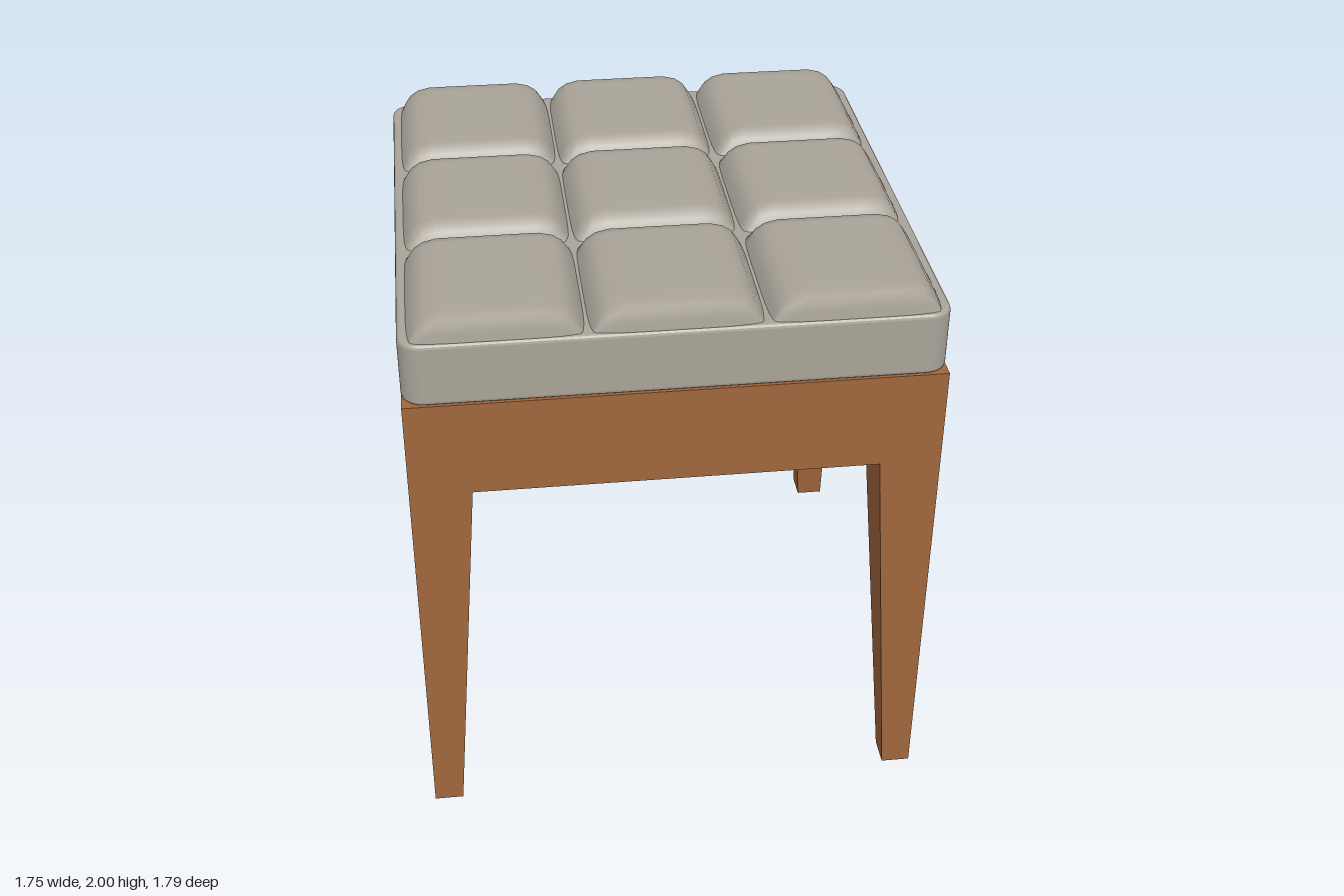
import * as THREE from 'three';

const HX = 0.875, HZ = 0.895;
const APRON_Y = 1.36, SEAT_Y = 1.7, PAD_Y = 1.915;

const wood = new THREE.MeshStandardMaterial({ color: 0xa0663c });
wood.name = 'wood';
const fabric = new THREE.MeshStandardMaterial({ color: 0xaaa499 });
fabric.name = 'greyFabric';

function add(group, name, geometry, material) {
  const mesh = new THREE.Mesh(geometry, material);
  mesh.name = name;
  group.add(mesh);
  return mesh;
}

// Leg with vertical outer faces; the two inner faces taper towards the foot
function legGeometry(sx, sz) {
  const topX = 0.205, topZ = 0.23, foot = 0.1;
  const g = new THREE.BoxGeometry(1, APRON_Y, 1);
  const p = g.attributes.position;
  for (let i = 0; i < p.count; i++) {
    const top = p.getY(i) > 0;
    const inX = p.getX(i) * sx < 0 ? (top ? topX : foot) : 0;
    const inZ = p.getZ(i) * sz < 0 ? (top ? topZ : foot) : 0;
    p.setXYZ(i, sx * (HX - inX), top ? APRON_Y : 0, sz * (HZ - inZ));
  }
  g.computeVertexNormals();
  return g;
}

// Cushion slab with rounded upright corners and a slim rounded rim
function slabGeometry() {
  const b = 0.014, x = HX - b, z = HZ - 0.003 - b, r = 0.06;
  const s = new THREE.Shape();
  s.moveTo(-x + r, -z);
  s.lineTo(x - r, -z);
  s.absarc(x - r, -z + r, r, -Math.PI / 2, 0);
  s.lineTo(x, z - r);
  s.absarc(x - r, z - r, r, 0, Math.PI / 2);
  s.lineTo(-x + r, z);
  s.absarc(-x + r, z - r, r, Math.PI / 2, Math.PI);
  s.lineTo(-x, -z + r);
  s.absarc(-x + r, -z + r, r, Math.PI, Math.PI * 1.5);
  const g = new THREE.ExtrudeGeometry(s, {
    depth: 1.92 - SEAT_Y - 2 * b, bevelThickness: b, bevelSize: b,
    bevelSegments: 3, curveSegments: 8,
  });
  g.rotateX(-Math.PI / 2);
  g.translate(0, SEAT_Y + b, 0);
  return g;
}

// Positions and relative heights across a pad, from [inset, height] edge steps
function profile(min, max, lowEdge, highEdge) {
  const a = min + lowEdge.at(-1)[0], c = max - highEdge.at(-1)[0];
  const middle = [0.12, 0.3, 0.5, 0.7, 0.88].map((t) => [a + (c - a) * t, 1]);
  return [
    ...lowEdge.map(([d, h]) => [min + d, h]),
    ...middle,
    ...highEdge.map(([d, h]) => [max - d, h]).reverse(),
  ];
}

// Puffed pad: product of two edge profiles over a slightly bulging outline
function padGeometry(xs, zs) {
  const pos = [], idx = [];
  const n = xs.length, m = zs.length;
  const x0 = xs[0][0], x1 = xs[n - 1][0], z0 = zs[0][0], z1 = zs[m - 1][0];
  const cx = (x0 + x1) / 2, cz = (z0 + z1) / 2;
  for (const [z, hz] of zs) {
    for (const [x, hx] of xs) {
      const u = (x - cx) / (x1 - cx), v = (z - cz) / (z1 - cz);
      pos.push(
        cx + (x - cx) * (1 - 0.045 * v ** 6),
        PAD_Y + (2 - PAD_Y) * hx * hz,
        cz + (z - cz) * (1 - 0.035 * u ** 6),
      );
    }
  }
  for (let j = 0; j < m - 1; j++) {
    for (let i = 0; i < n - 1; i++) {
      const a = j * n + i, b = a + 1, c = a + n, d = c + 1;
      idx.push(a, c, b, b, c, d);
    }
  }
  const g = new THREE.BufferGeometry();
  g.setAttribute('position', new THREE.Float32BufferAttribute(pos, 3));
  g.setIndex(idx);
  g.computeVertexNormals();
  return g;
}

export function createModel() {
  const model = new THREE.Group();
  model.name = 'stool';

  // Wooden frame
  const apron = add(model, 'apron', new THREE.BoxGeometry(2 * HX, SEAT_Y - APRON_Y, 2 * HZ), wood);
  apron.position.y = (SEAT_Y + APRON_Y) / 2;
  for (const sx of [-1, 1]) {
    for (const sz of [-1, 1]) {
      add(model, `${sz > 0 ? 'front' : 'back'}${sx > 0 ? 'Left' : 'Right'}Leg`, legGeometry(sx, sz), wood);
    }
  }

  // Upholstered seat
  add(model, 'cushion', slabGeometry(), fabric);

  // Three by three tufted pads
  const xEdge = [[0, 0], [0.014, 0.3], [0.035, 0.65], [0.065, 0.88], [0.11, 1]];
  const zInner = [[0, 0], [0.012, 0.35], [0.028, 0.7], [0.05, 0.97], [0.08, 1]];
  const zOuter = [[0, 0], [0.004, 0.4], [0.01, 0.8], [0.02, 0.97], [0.06, 1]];
  const pads = new THREE.Group();
  pads.name = 'seatPads';
  model.add(pads);
  for (let row = -1; row <= 1; row++) {
    for (let col = -1; col <= 1; col++) {
      const cx = col * 0.567, cz = row * 0.59;
      const xs = profile(cx - 0.281, cx + 0.281, xEdge, xEdge);
      const zs = profile(cz - 0.293, cz + 0.293,
        row === -1 ? zOuter : zInner, row === 1 ? zOuter : zInner);
      add(pads, 'seatPad', padGeometry(xs, zs), fabric);
    }
  }
  return model;
}
